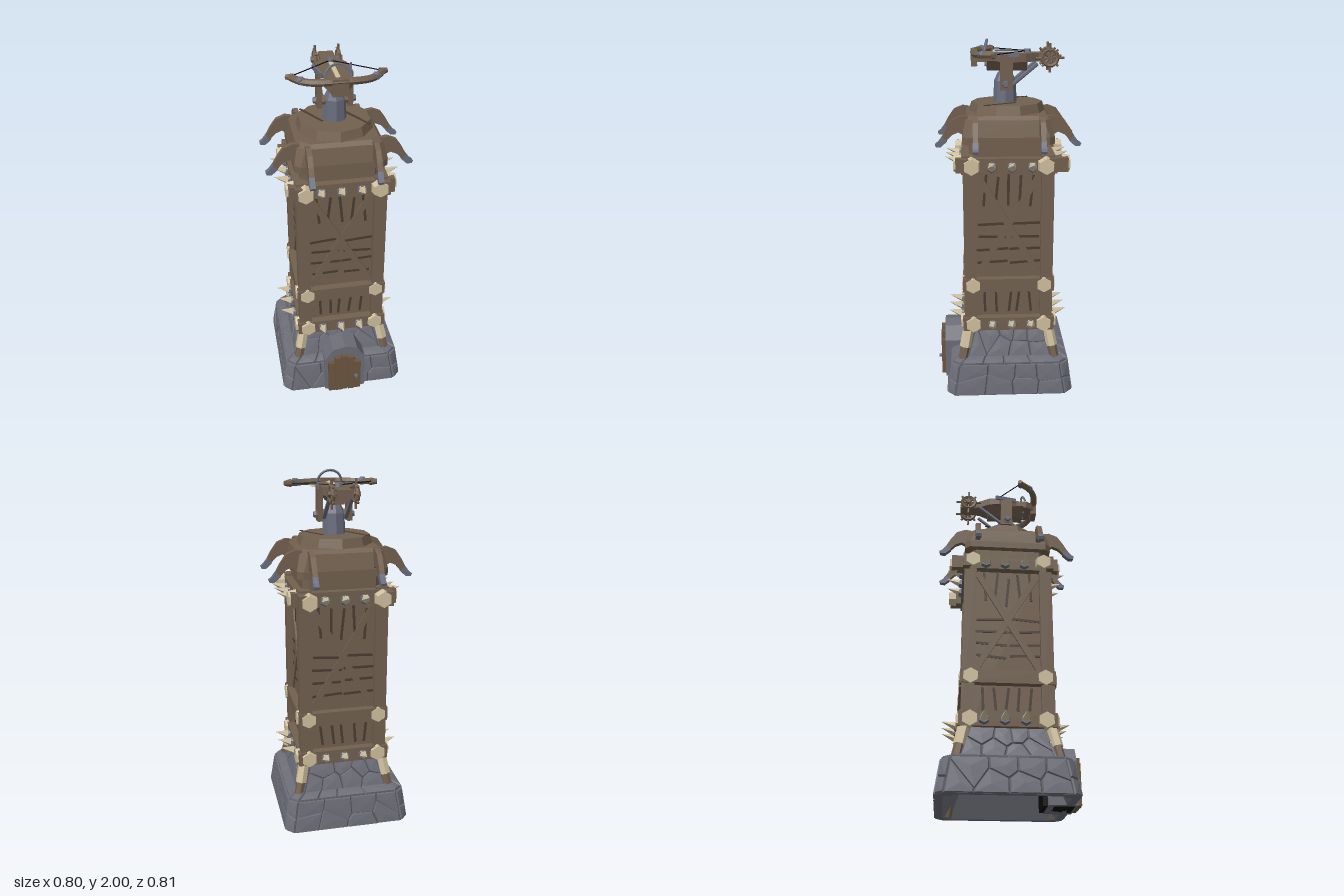
import * as THREE from 'three';

const mat = (name, color) =>
  Object.assign(new THREE.MeshStandardMaterial({ color, flatShading: true }), { name });

export function createModel() {
  const root = new THREE.Group();
  root.name = 'watchtower';
  const wood = mat('wood', 0x72604f), darkWood = mat('dark wood', 0x4a3d31), doorWood = mat('door wood', 0x6b573f);
  const stone = mat('stone', 0x6c6d77), mortar = mat('mortar', 0x505159);
  const metal = mat('metal', 0x696d7d), bone = mat('bone', 0xcfc09e), black = mat('black', 0x0a0a0a);

  let seed = 7;
  const rnd = () => (seed = (seed * 16807) % 2147483647) / 2147483647;
  const jit = (a) => (rnd() - 0.5) * 2 * a;
  const V = (x, y, z) => new THREE.Vector3(x, y, z);

  const add = (name, geo, m, parent = root, x = 0, y = 0, z = 0) => {
    const mesh = new THREE.Mesh(geo, m);
    mesh.name = name;
    mesh.position.set(x, y, z);
    parent.add(mesh);
    return mesh;
  };
  const group = (name, parent = root) => {
    const g = new THREE.Group();
    g.name = name;
    parent.add(g);
    return g;
  };
  const box = (name, m, w, h, d, x, y, z, parent) => add(name, new THREE.BoxGeometry(w, h, d), m, parent, x, y, z);
  // tapered rod from a to b
  const rod = (name, m, a, b, ra, rb, n = 6, parent = root) => {
    const d = b.clone().sub(a);
    const mesh = add(name, new THREE.CylinderGeometry(rb, ra, d.length(), n), m, parent);
    mesh.position.copy(a).addScaledVector(d, 0.5);
    mesh.quaternion.setFromUnitVectors(V(0, 1, 0), d.normalize());
    return mesh;
  };
  const fromTriangles = (pts) => {
    const g = new THREE.BufferGeometry().setFromPoints(pts);
    g.computeVertexNormals();
    return g;
  };
  // square section with chamfered corners
  const ring = ([y, h, c]) =>
    [[c - h, h], [h - c, h], [h, h - c], [h, c - h], [h - c, -h], [c - h, -h], [-h, c - h], [-h, h - c]]
      .map(([x, z]) => V(x, y, z));
  const loft = (sections) => {
    const pts = [];
    for (let s = 0; s + 1 < sections.length; s++) {
      const a = ring(sections[s]), b = ring(sections[s + 1]);
      for (let i = 0; i < 8; i++) {
        const j = (i + 1) % 8;
        pts.push(a[i], a[j], b[j], a[i], b[j], b[i]);
      }
    }
    return fromTriangles(pts);
  };
  // irregular raised stones: Voronoi cells on one quad of a wall
  const stonesOnQuad = (out, A, B, C, D, nx, ny) => {
    const w = A.distanceTo(B), h = A.distanceTo(D);
    const n = B.clone().sub(A).cross(D.clone().sub(A)).normalize();
    const at = (p, lift) => {
      const lo = A.clone().lerp(B, p.x / w), hi = D.clone().lerp(C, p.x / w);
      return lo.lerp(hi, p.y / h).addScaledVector(n, lift);
    };
    const seeds = [];
    for (let i = 0; i < nx; i++) for (let j = 0; j < ny; j++)
      seeds.push(new THREE.Vector2((i + 0.5 + (j % 2 ? 0.2 : -0.15) + jit(0.3)) * w / nx, (j + 0.5 + jit(0.28)) * h / ny));
    for (const s of seeds) {
      let poly = [[0, 0], [w, 0], [w, h], [0, h]].map((p) => new THREE.Vector2(...p));
      for (const t of seeds) {
        if (t === s) continue;
        const dir = t.clone().sub(s), mid = s.clone().add(t).multiplyScalar(0.5);
        const dist = (p) => p.clone().sub(mid).dot(dir);
        poly = poly.flatMap((p, i) => {
          const q = poly[(i + 1) % poly.length], dp = dist(p), dq = dist(q);
          const keep = dp <= 0 ? [p] : [];
          if (dp * dq < 0) keep.push(p.clone().lerp(q, dp / (dp - dq)));
          return keep;
        });
      }
      if (poly.length < 3) continue;
      const c = poly.reduce((a, p) => a.add(p), new THREE.Vector2()).divideScalar(poly.length);
      const inset = (d, lift) => poly.map((p) => at(p.clone().lerp(c, Math.min(0.3, d / p.distanceTo(c))), lift));
      const lo = inset(0.002, 0), hi = inset(0.008, 0.01), top = at(c, 0.013);
      lo.forEach((p, i) => {
        const j = (i + 1) % lo.length;
        out.push(p, lo[j], hi[j], p, hi[j], hi[i], hi[i], hi[j], top);
      });
    }
  };

  // stone base, hollow underneath
  const base = group('stoneBase');
  base.position.set(-0.006, 0, -0.015);
  const tiers = [[0, 0.358, 0.04], [0.185, 0.332, 0.045], [0.205, 0.275, 0.035], [0.37, 0.222, 0.03]];
  add('baseWall', loft(tiers), mortar, base);
  add('baseLining', loft([tiers[3], [0.37, 0.19, 0.02], [0.2, 0.235, 0.03], [0, 0.32, 0.04], tiers[0]]), stone, base);
  const stones = [];
  for (let t = 0; t < 3; t++) {
    const a = ring(tiers[t]), b = ring(tiers[t + 1]);
    for (let i = 0; i < 8; i++) {
      const j = (i + 1) % 8;
      stonesOnQuad(stones, a[i], a[j], b[j], b[i], i % 2 ? 1 : 4, t === 1 ? 1 : 2);
    }
  }
  add('baseStones', fromTriangles(stones), stone, base);

  // doorway and arched plank door
  const arch = (S, w, h) => new S().moveTo(-w, 0).lineTo(w, 0).lineTo(w, h * 0.72)
    .lineTo(w * 0.6, h * 0.95).lineTo(0, h).lineTo(-w * 0.6, h * 0.95).lineTo(-w, h * 0.72).closePath();
  const surround = arch(THREE.Shape, 0.122, 0.33);
  surround.holes.push(arch(THREE.Path, 0.09, 0.255));
  add('doorSurround', new THREE.ExtrudeGeometry(surround, { depth: 0.155, bevelEnabled: false }), stone, root, 0, 0, 0.21);
  add('doorwayDark', new THREE.ExtrudeGeometry(arch(THREE.Shape, 0.089, 0.253), { depth: 0.17, bevelEnabled: false }),
    black, root, 0, 0, 0.185);
  [0.225, 0.262, 0.27, 0.258, 0.215].forEach((h, i) =>
    box('doorPlank', doorWood, 0.037, h, 0.028, -0.085 + i * 0.04, h / 2 + 0.004, 0.374 + (i % 2) * 0.003));
  rod('doorHandle', metal, V(0.065, 0.11, 0.385), V(0.065, 0.11, 0.405), 0.013, 0.01);

  // timber body with corner posts and leaning props
  const tower = group('tower');
  tower.position.z = -0.01;
  box('bodyCore', wood, 0.43, 1.04, 0.43, 0, 0.88, 0, tower);
  for (const x of [-1, 1]) for (const z of [-1, 1]) {
    box('cornerPost', wood, 0.07, 1.03, 0.07, x * 0.215, 0.885, z * 0.215, tower);
    const top = V(x * 0.226, 0.4, z * 0.226), foot = V(x * 0.305, 0.01, z * 0.305);
    rod('propPost', wood, foot, top, 0.03, 0.026, 6, tower);
    rod('propSleeve', bone, top.clone().lerp(foot, 0.34), top, 0.033, 0.031, 6, tower);
  }

  // beams, running both ways at three heights: [y, half length]
  const beams = [[0.41, 0.262], [0.65, 0.252], [1.35, 0.288]];
  for (const [y, e] of beams) for (const s of [-1, 1]) {
    const back = y > 1 ? 0.035 : 0;
    box('crossBeam', wood, 2 * e, 0.08, 0.07, 0, y, s * 0.224, tower);
    box('sideBeam', wood, 0.07, 0.078, 2 * e + back, s * 0.224, y, -back / 2, tower);
  }

  // everything repeated on the four faces, built facing +z
  const groove = (parent, x, y, len, ang) => {
    box('plankGap', darkWood, len, 0.014, 0.006, x, y, 0.2155, parent).rotation.z = ang;
  };
  const hornShape = new THREE.Shape().moveTo(0.215, 1.605).lineTo(0.25, 1.61).lineTo(0.3, 1.59).lineTo(0.335, 1.54)
    .lineTo(0.365, 1.485).lineTo(0.34, 1.468).lineTo(0.305, 1.505).lineTo(0.27, 1.52).lineTo(0.22, 1.49).closePath();
  const tipShape = new THREE.Shape().moveTo(0.358, 1.498).lineTo(0.38, 1.468).lineTo(0.398, 1.455).lineTo(0.392, 1.44)
    .lineTo(0.365, 1.44).lineTo(0.332, 1.47).closePath();
  const plate = (shape, t) => new THREE.ExtrudeGeometry(shape, { depth: t, bevelEnabled: false })
    .translate(0, 0, -t / 2).rotateY(-Math.PI / 2);
  for (let k = 0; k < 4; k++) {
    const face = group('towerFace', tower);
    face.rotation.y = k * Math.PI / 2;
    // plank seams: upright above and below, level in the middle
    for (let i = 0; i < 5; i++) {
      const x = -0.13 + i * 0.065;
      groove(face, x, 1.2 + jit(0.02), 0.18, Math.PI / 2 + jit(0.12));
      groove(face, x + jit(0.01), 0.535, 0.13, Math.PI / 2 + jit(0.12));
    }
    for (let i = 0; i < 4; i++) {
      const y = 0.78 + i * 0.075, len = 0.14 + rnd() * 0.04;
      groove(face, -0.09, y, len, jit(0.1));
      groove(face, 0.095, y + jit(0.012), len, jit(0.1));
    }
    // cross braces
    for (const s of [-1, 1])
      box('crossBrace', wood, 0.035, 0.7, 0.014, 0, 1, 0.218 + s * 0.001, face).rotation.z = s * 0.53;
    // bone caps on the beam ends
    for (const [y, e] of beams) for (const s of [-1, 1]) {
      const z = k === 2 && y > 1 ? e + 0.035 : e;
      rod('beamCap', bone, V(s * 0.202, y, z - 0.032), V(s * 0.202, y, z + 0.012), 0.052, 0.044, 6, face);
    }
    // spikes in metal sockets
    const shift = [-0.004, 0.018, 0.004, -0.018][k];
    for (const y of [0.41, 1.345]) for (const x of [-0.11, 0, 0.11]) {
      const sx = x + shift;
      rod('spikeSocket', metal, V(sx, y - 0.005, 0.245), V(sx, y, 0.274), 0.034, 0.026, 6, face);
      rod('spike', bone, V(sx, y, 0.264), V(sx, y + 0.024, 0.346), 0.026, 0.001, 5, face);
    }
    // roof brackets with metal claws
    for (const s of [-1, 1]) {
      add('roofBracket', plate(hornShape, 0.028), wood, face, s * 0.178);
      add('bracketClaw', plate(tipShape, 0.03), metal, face, s * 0.178);
    }
  }

  // roof with a ten-sided deck
  add('roof', loft([[1.385, 0, 0], [1.385, 0.215, 0.03], [1.46, 0.215, 0.03], [1.46, 0.25, 0.03], [1.5, 0.25, 0.03],
    [1.59, 0.23, 0.04], [1.61, 0.21, 0.05], [1.615, 0, 0]]), wood, tower);
  add('roofDeck', new THREE.CylinderGeometry(0.198, 0.215, 0.055, 10), wood, tower, 0, 1.632, 0);
  for (const s of [-1, 1])
    box('deckSeam', darkWood, 0.014, 0.004, 0.2, s * 0.12, 1.66, s * 0.04, tower).rotation.y = 0.5;

  // bow turret: pedestal and yoke
  const turret = group('bowTurret');
  add('pedestal', new THREE.CylinderGeometry(0.06, 0.066, 0.12, 8), metal, turret, 0, 1.715, 0);
  add('pedestalTop', new THREE.CylinderGeometry(0.04, 0.06, 0.045, 8), metal, turret, 0, 1.797, 0);
  rod('yokeAxle', wood, V(-0.1, 1.765, 0), V(0.1, 1.765, 0), 0.028, 0.028, 8, turret);

  // stock, seen as a flat outline in x and z, narrowing to a keel below
  const half = [[0.042, -0.292], [0.042, -0.18], [0.085, -0.11], [0.092, -0.05], [0.07, 0.06], [0.072, 0.12], [0.04, 0.18]];
  const outline = [...half, ...half.map(([x, z]) => [-x, z]).reverse()].map((p) => new THREE.Vector2(...p));
  add('stock', new THREE.ExtrudeGeometry(new THREE.Shape(outline), { depth: 0.045, bevelEnabled: false })
    .rotateX(Math.PI / 2), wood, turret, 0, 1.925, 0);
  const keel = new THREE.Shape().moveTo(-0.075, 1.885).lineTo(-0.03, 1.83).lineTo(0.03, 1.83).lineTo(0.075, 1.885).closePath();
  add('stockKeel', new THREE.ExtrudeGeometry(keel, { depth: 0.22, bevelEnabled: false }), wood, turret, 0, 0, -0.12);
  for (const s of [-1, 1]) rod('keelBolt', metal, V(s * 0.03, 1.865, 0.09), V(s * 0.03, 1.865, 0.112), 0.014, 0.01, 6, turret);
  box('stockNose', wood, 0.085, 0.09, 0.035, 0, 1.9, 0.17, turret);
  box('boltGroove', bone, 0.024, 0.008, 0.27, 0, 1.926, 0.03, turret);
  rod('stringCatch', metal, V(0, 1.915, -0.122), V(0, 1.945, -0.122), 0.026, 0.018, 6, turret);
  const hoop = add('guideHoop', new THREE.TorusGeometry(0.068, 0.007, 5, 12, Math.PI), metal, turret, 0, 1.928, 0.115);
  hoop.rotation.x = -0.25;

  for (const s of [-1, 1]) {
    box('yokeArm', wood, 0.026, 0.19, 0.07, s * 0.083, 1.825, -0.005, turret);
    rod('axleNut', metal, V(s * 0.09, 1.765, 0), V(s * 0.115, 1.765, 0), 0.022, 0.016, 6, turret);
    rod('backStay', metal, V(s * 0.062, 1.75, -0.03), V(s * 0.062, 1.87, -0.175), 0.011, 0.011, 6, turret);
    rod('sideSpike', bone, V(s * 0.06, 1.91, 0.085), V(s * 0.12, 1.912, 0.085), 0.011, 0.001, 5, turret);
    box('sideRail', metal, 0.01, 0.025, 0.13, s * 0.09, 1.922, -0.01, turret).rotation.y = -s * 0.2;
    // bow limb, joint, tip and string
    const limb = new THREE.CatmullRomCurve3([V(0, 1.93, 0.172), V(s * 0.07, 1.928, 0.17), V(s * 0.15, 1.926, 0.153),
      V(s * 0.2, 1.928, 0.122), V(s * 0.24, 1.93, 0.068)]);
    add('bowLimb', new THREE.TubeGeometry(limb, 10, 0.019, 6), wood, turret);
    add('limbJoint', new THREE.IcosahedronGeometry(0.025, 0), metal, turret, s * 0.194, 1.93, 0.127);
    rod('bowTip', wood, V(s * 0.225, 1.93, 0.075), V(s * 0.262, 1.93, 0.062), 0.022, 0.014, 6, turret);
    rod('bowString', black, V(s * 0.235, 1.932, 0.065), V(0, 1.934, -0.12), 0.003, 0.003, 5, turret);
    // winding wheel with handle spokes
    const wheel = group('windingWheel', turret);
    wheel.position.set(s * 0.065, 1.9, -0.242);
    add('wheelRim', new THREE.TorusGeometry(0.042, 0.011, 5, 10).rotateY(Math.PI / 2), wood, wheel);
    for (let i = 0; i < 8; i++) {
      const a = i * Math.PI / 4, r = i % 2 ? 0.062 : 0.078;
      rod('wheelSpoke', wood, V(0, 0, 0), V(0, Math.sin(a) * r, Math.cos(a) * r), 0.007, 0.007, 5, wheel);
    }
    rod('wheelHub', wood, V(-0.022, 0, 0), V(0.022, 0, 0), 0.016, 0.016, 6, wheel);
  }
  return root;
}
